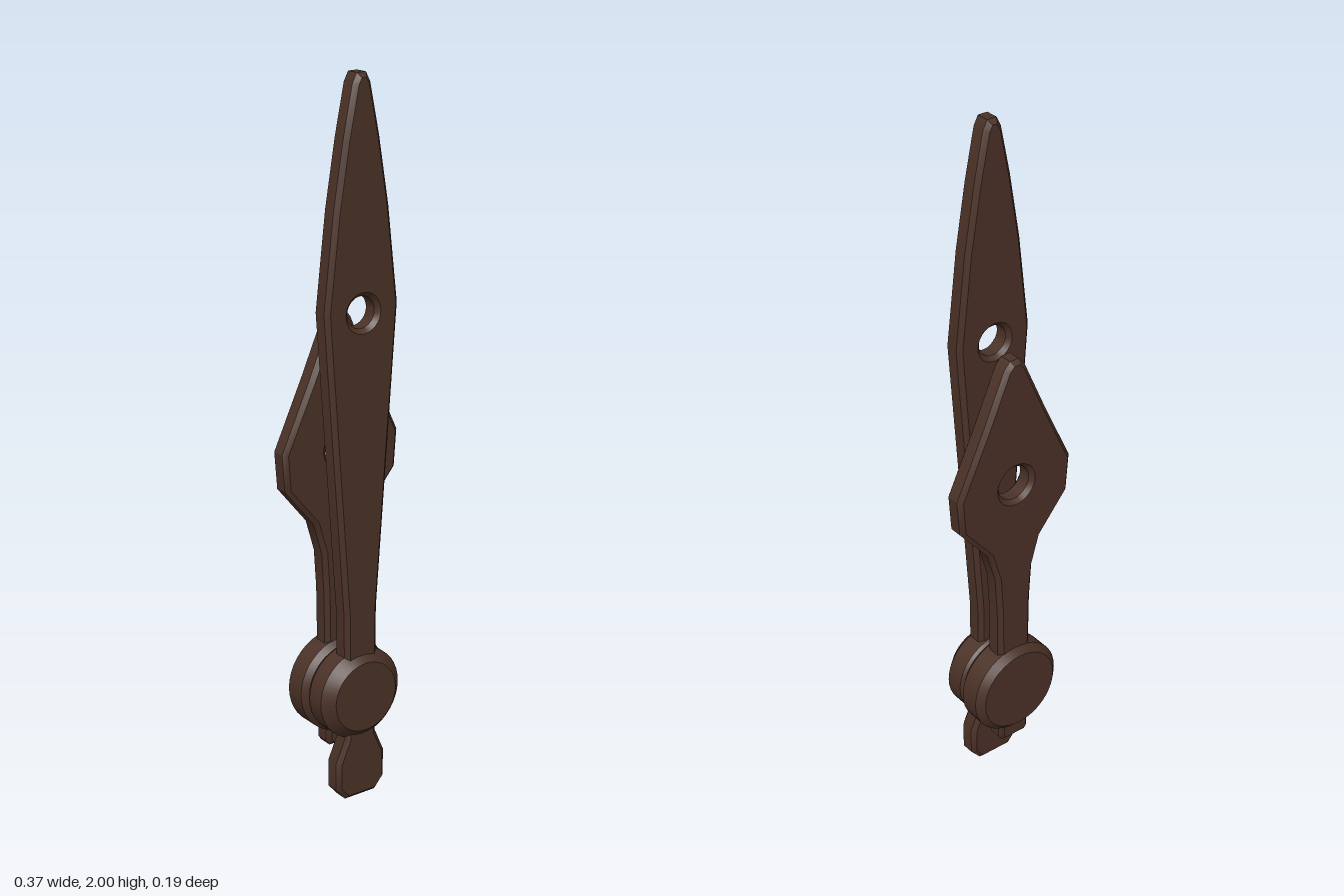
import * as THREE from 'three';
import { toCreasedNormals } from 'three/addons/utils/BufferGeometryUtils.js';

const HUB_Y = 0.315;
const BEVEL = 0.012;
const DEPTH = 0.06;

// Flat bevelled hand, mirrored from its right-hand outline (bottom to top), with one round hole
function makeHand(name, half, holeY, holeR, z, material) {
  const points = half.map(([x, y]) => new THREE.Vector2(x, y));
  const mirrored = half.map(([x, y]) => new THREE.Vector2(-x, y)).reverse();
  const shape = new THREE.Shape([...points, ...mirrored]);
  const hole = new THREE.Path();
  hole.absarc(0, holeY, holeR, 0, Math.PI * 2, true);
  shape.holes.push(hole);
  const geometry = new THREE.ExtrudeGeometry(shape, {
    depth: DEPTH - 2 * BEVEL, bevelEnabled: true, bevelThickness: BEVEL,
    bevelSize: BEVEL, bevelOffset: -BEVEL, bevelSegments: 1, curveSegments: 16,
  });
  geometry.translate(0, 0, z - DEPTH / 2 + BEVEL);
  const mesh = new THREE.Mesh(toCreasedNormals(geometry, 0.5), material);
  mesh.name = name;
  return mesh;
}

// Chamfered round boss, profile given as [radius, z] from back to front
function makeHub(name, profile, material) {
  const geometry = new THREE.LatheGeometry(profile.map(([r, z]) => new THREE.Vector2(r, z)), 40);
  geometry.rotateX(Math.PI / 2);
  geometry.translate(0, HUB_Y, 0);
  const mesh = new THREE.Mesh(toCreasedNormals(geometry, 0.5), material);
  mesh.name = name;
  return mesh;
}

export function createModel() {
  const group = new THREE.Group();
  group.name = 'clockHands';
  const bronze = new THREE.MeshStandardMaterial({ color: 0x4a3126 });
  bronze.name = 'darkBronze';

  // Long hand in front
  group.add(makeHand('minuteHand', [
    [0.05, 0.005], [0.08, 0.04], [0.08, 0.12], [0.05, 0.19], [0.053, 0.56],
    [0.115, 1.4], [0.085, 1.66], [0.055, 1.84], [0.027, 1.975], [0.014, 2.0],
  ], 1.39, 0.043, 0.045, bronze));

  // Short, broad hand behind
  group.add(makeHand('hourHand', [
    [0.038, 0.13], [0.05, 0.145], [0.05, 0.2], [0.055, 0.6], [0.062, 0.71],
    [0.088, 0.8], [0.178, 0.91], [0.186, 1.015], [0.1, 1.2], [0.032, 1.355], [0.014, 1.375],
  ], 1.0, 0.05, -0.045, bronze));

  // Bosses at the pivot
  group.add(makeHub('minuteHub', [
    [0, 0], [0.122, 0], [0.13, 0.01], [0.13, 0.063], [0.1, 0.092], [0, 0.092],
  ], bronze));
  group.add(makeHub('hourHub', [
    [0, -0.094], [0.12, -0.094], [0.14, -0.074], [0.14, -0.016], [0.124, 0], [0, 0],
  ], bronze));
  return group;
}
